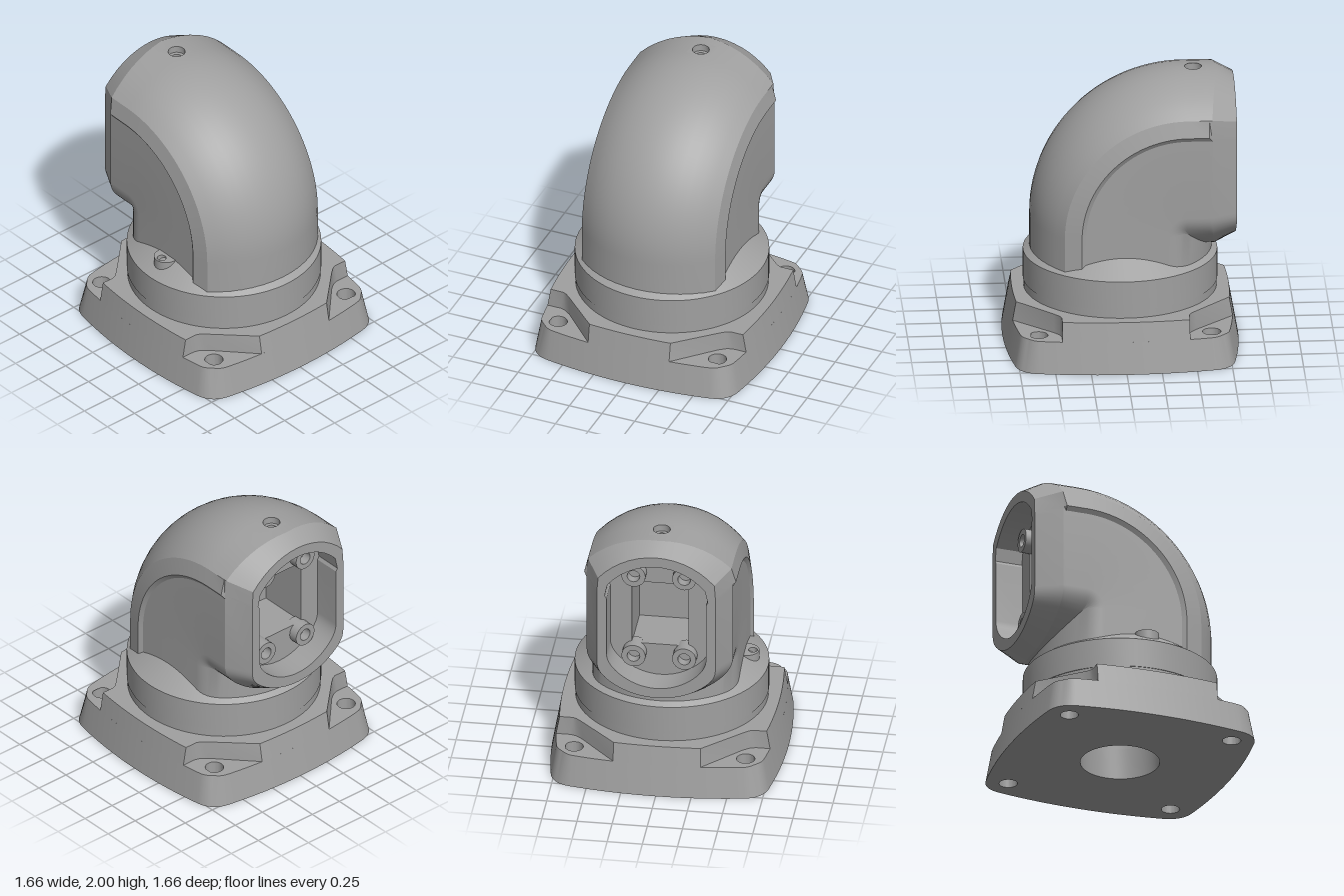
import * as THREE from 'three';
import { toCreasedNormals } from 'three/addons/utils/BufferGeometryUtils.js';

const V2 = (x, y) => new THREE.Vector2(x, y);
const AXIS_Y = 1.36; // height of the outlet axis
const BEND = 0.45;   // bend radius of the elbow
const FLOOR_X = -0.6; // depth of the outlet floor

const metal = new THREE.MeshStandardMaterial({ color: 0xa0a0a0 });
metal.name = 'grey metal';

function addPart(group, name, geometry, crease = 0.5) {
  const mesh = new THREE.Mesh(toCreasedNormals(geometry, crease), metal);
  mesh.name = name;
  group.add(mesh);
  return mesh;
}

const lathe = (pts, seg = 64) => new THREE.LatheGeometry(pts.map(p => V2(...p)), seg);

const circleHole = (x, y, r) => new THREE.Path().absarc(x, y, r, 0, Math.PI * 2, false);

const crown = z => Math.sqrt(0.49 - z * z) - 0.06;

// Pipe section as [u, z]: round inside, flat recessed cheeks, crowned outside
function pipeSection() {
  const half = [];
  const end = 0.72;
  for (let i = 0; i < 10; i++) {
    const a = end * i / 10;
    half.push([-0.645 * Math.cos(a), 0.645 * Math.sin(a)]);
  }
  const blend = new THREE.QuadraticBezierCurve(
    V2(-0.645 * Math.cos(end), 0.645 * Math.sin(end)), V2(-0.4, 0.52), V2(-0.31, 0.52));
  half.push(...blend.getPoints(6).map(p => [p.x, p.y]));
  half.push([0.27, 0.52], [0.30, 0.54]);
  for (const z of [0.51, 0.45, 0.38, 0.31, 0.24, 0.16, 0.08, 0]) half.push([crown(z), z]);
  const mirrored = half.slice(1, -1).reverse().map(([u, z]) => [u, -z]);
  return [...half, ...mirrored];
}

// Elbow swept from the collar to the outlet, mitred on the inner side
function elbowGeometry(section) {
  const rows = [section.map(([u, z]) => [u, 0.6, z])];
  const steps = 28;
  for (let i = 0; i <= steps; i++) {
    const t = Math.PI / 2 * i / steps;
    rows.push(section.map(([u, z]) => {
      const r = u + BEND;
      return r > 0
        ? [-BEND + r * Math.cos(t), AXIS_Y - BEND + r * Math.sin(t), z]
        : [u, u + AXIS_Y, z];
    }));
  }
  const holeRow = rows.length - 1;
  const level = z => THREE.MathUtils.clamp(z, -0.52, 0.52); // cheeks become flush near the outlet
  const endU = u => u > 0 ? u * 0.89 : u > -0.36 ? u : -0.36 + (u + 0.36) * 0.75;
  const ring = (x, fu, fz) => section.map(([u, z]) => [x(u, z), AXIS_Y + fu(u), fz(z)]);
  rows.push(ring(u => Math.min(-0.6, u), u => u, z => z));
  rows.push(ring((u, z) => Math.min(-0.68 + 0.06 * Math.abs(z) / 0.52, u), u => u, level));
  rows.push(ring(() => -0.8, endU, z => level(z) * 0.81));       // chamfered end
  rows.push(ring(() => -0.8, u => u * 0.77, z => z * 0.68));     // rim
  rows.push(ring(() => FLOOR_X, u => u * 0.77, z => z * 0.68));  // pocket wall

  const n = section.length, index = [];
  for (let i = 0; i < rows.length - 1; i++) {
    for (let j = 0; j < n; j++) {
      const k = (j + 1) % n;
      const atTop = [j, k].every(q => section[q][0] > 0.6 && Math.abs(section[q][1]) < 0.09);
      if (i === holeRow && atTop) continue; // left open for the screw recess
      const a = i * n + j, b = i * n + k;
      index.push(a, b, b + n, a, b + n, a + n);
    }
  }
  const geo = new THREE.BufferGeometry();
  geo.setAttribute('position', new THREE.Float32BufferAttribute(rows.flat(2), 3));
  geo.setIndex(index);
  return geo;
}

// Shape extruded upward between two heights
function slab(shape, y0, y1) {
  return new THREE.ExtrudeGeometry(shape, { depth: y1 - y0, bevelEnabled: false, curveSegments: 24 })
    .rotateX(-Math.PI / 2).translate(0, y0, 0);
}

// Slab whose outer walls lean inward; bolt holes stay straight
function taperedSlab(shape, y0, y1) {
  const geo = slab(shape, y0, y1);
  const p = geo.attributes.position;
  for (let i = 0; i < p.count; i++) {
    const x = p.getX(i), y = p.getY(i), z = p.getZ(i);
    if (Math.hypot(Math.abs(x) - 0.61, Math.abs(z) - 0.61) < 0.08) continue;
    const lean = v => v - Math.sign(v) * 0.175 * y * THREE.MathUtils.clamp((Math.abs(v) - 0.6) / 0.12, 0, 1);
    p.setXYZ(i, lean(x), y, lean(z));
  }
  return geo;
}

// Flange outline with bulged sides, rounded corners and four bolt holes
function flangeShape() {
  const s = new THREE.Shape();
  s.moveTo(-0.62, 0.775);
  s.quadraticCurveTo(0, 0.885, 0.62, 0.775).quadraticCurveTo(0.75, 0.75, 0.775, 0.62);
  s.quadraticCurveTo(0.885, 0, 0.775, -0.62).quadraticCurveTo(0.75, -0.75, 0.62, -0.775);
  s.quadraticCurveTo(0, -0.885, -0.62, -0.775).quadraticCurveTo(-0.75, -0.75, -0.775, -0.62);
  s.quadraticCurveTo(-0.885, 0, -0.775, 0.62).quadraticCurveTo(-0.75, 0.75, -0.62, 0.775);
  for (const x of [-0.61, 0.61]) for (const y of [-0.61, 0.61]) s.holes.push(circleHole(x, y, 0.065));
  s.holes.push(circleHole(0, 0, 0.28));
  return s;
}

// Upper flange outline with a pocket cut from each corner
function pocketedShape() {
  const bulge = t => 0.83 - 0.143 * t * t;
  const q = [];
  for (let i = 0; i <= 6; i++) q.push([0.45 * i / 6, bulge(0.45 * i / 6)]);
  q.push([0.45, 0.69], [0.462, 0.63], [0.50, 0.57]);
  for (let i = 5; i >= 0; i--) q.push([bulge(0.31 * i / 5), 0.31 * i / 5]);
  const back = [...q].reverse();
  const pts = [
    ...q,
    ...back.slice(1).map(([x, y]) => [x, -y]),
    ...q.slice(1).map(([x, y]) => [-x, -y]),
    ...back.slice(1, -1).map(([x, y]) => [-x, y]),
  ];
  const s = new THREE.Shape(pts.map(p => V2(...p)));
  s.holes.push(circleHole(0, 0, 0.28));
  return s;
}

export function createModel() {
  const model = new THREE.Group();
  model.name = 'elbowFitting';

  // Mounting flange
  addPart(model, 'flangeLower', taperedSlab(flangeShape(), 0, 0.23));
  addPart(model, 'flangeUpper', taperedSlab(pocketedShape(), 0.23, 0.37));

  // Collar and central bore
  addPart(model, 'collar', lathe([[0.68, 0.36], [0.68, 0.43], [0.685, 0.43], [0.685, 0.645], [0.51, 0.767]], 96));
  addPart(model, 'bore', lathe([[0, 1], [0.28, 1], [0.28, 0.37]]));

  // Elbow body
  const section = pipeSection();
  addPart(model, 'elbow', elbowGeometry(section), 0.35);

  // Screw recess on top of the elbow
  const patch = new THREE.Shape([[-0.6, -0.08], [-0.45, -0.08], [-0.45, 0], [-0.45, 0.08], [-0.6, 0.08], [-0.6, 0]].map(p => V2(...p)));
  patch.holes.push(circleHole(-0.515, 0, 0.06));
  const patchGeo = new THREE.ShapeGeometry(patch, 16).rotateX(-Math.PI / 2);
  const pp = patchGeo.attributes.position;
  for (let i = 0; i < pp.count; i++) pp.setY(i, AXIS_Y + crown(pp.getZ(i)));
  addPart(model, 'recessSurround', patchGeo);
  const recess = lathe([[0.06, 2], [0.06, 1.95], [0.035, 1.95], [0.035, 1.88], [0, 1.88]], 32);
  addPart(model, 'screwRecess', recess).position.x = -0.515;

  // Outlet floor with a rectangular cable opening
  const floor = new THREE.Shape(section.map(([u, z]) => V2(z * 0.68, u * 0.77)));
  const w = 0.2, h = 0.25;
  floor.holes.push(new THREE.Path([V2(-w, -h), V2(-w, h), V2(w, h), V2(w, -h)]));
  const floorGeo = new THREE.ShapeGeometry(floor).rotateY(-Math.PI / 2).translate(FLOOR_X, AXIS_Y, 0);
  addPart(model, 'outletFloor', floorGeo);
  const cavity = new THREE.BoxGeometry(0.38, h * 2, w * 2).scale(-1, 1, 1).translate(FLOOR_X + 0.19, AXIS_Y, 0);
  cavity.computeVertexNormals();
  addPart(model, 'outletCavity', cavity);

  // Screw bosses in the outlet
  for (const z of [-0.18, 0.18]) {
    for (const u of [-0.32, 0.33]) {
      const boss = lathe([[0.085, -0.06], [0.085, 0.07], [0.045, 0.07], [0.045, -0.05], [0, -0.05]], 24);
      boss.rotateZ(Math.PI / 2);
      addPart(model, 'outletBoss', boss).position.set(FLOOR_X, AXIS_Y + u, z);
    }
  }

  // Drilled boss on the collar shoulder
  const stud = new THREE.Shape().absarc(0, 0, 0.085, 0, Math.PI * 2, false);
  stud.holes.push(circleHole(0, -0.04, 0.032));
  addPart(model, 'shoulderBoss', slab(stud, 0.64, 0.76)).position.z = 0.535;

  return model;
}
